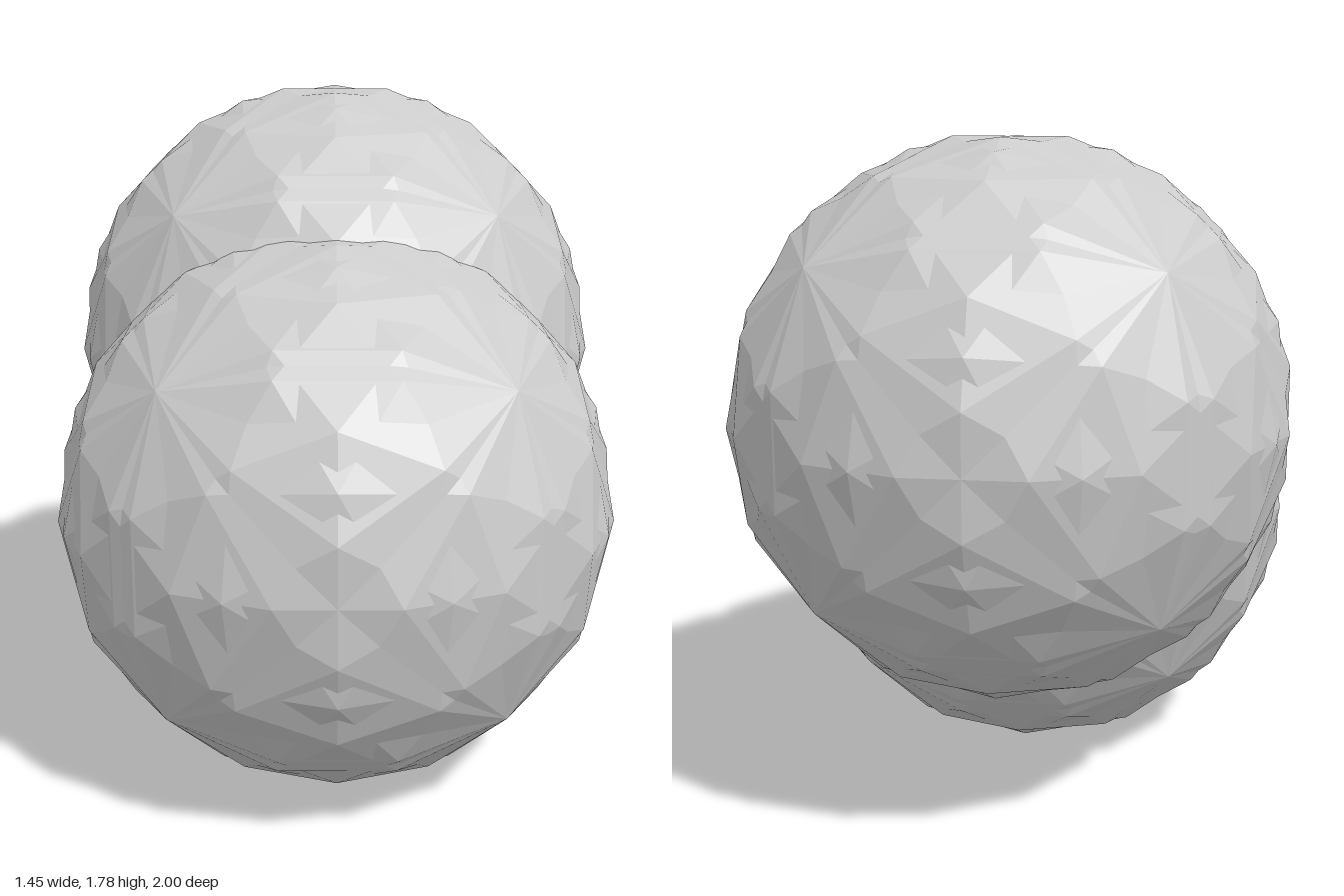
import * as THREE from 'three';

export function createModel() {
  const model = new THREE.Group();
  const material = new THREE.MeshStandardMaterial({ color: 0xcccccc, flatShading: true });
  const geometry = new THREE.IcosahedronGeometry(0.74, 2);

  // A faceted ball made of two icospheres crossed at a quarter turn
  function lobe(name, y, z) {
    const group = new THREE.Group();
    group.name = name;
    group.position.set(0, y, z);
    for (const [part, turn] of [['facets', 0], ['crossedFacets', Math.PI / 2]]) {
      const ball = new THREE.Mesh(geometry, material);
      ball.name = part;
      ball.rotation.y = turn;
      group.add(ball);
    }
    model.add(group);
  }

  // Low front lobe and raised back lobe, overlapping at the waist
  lobe('frontLobe', 0.725, 0.273);
  lobe('backLobe', 1.053, -0.273);
  return model;
}
